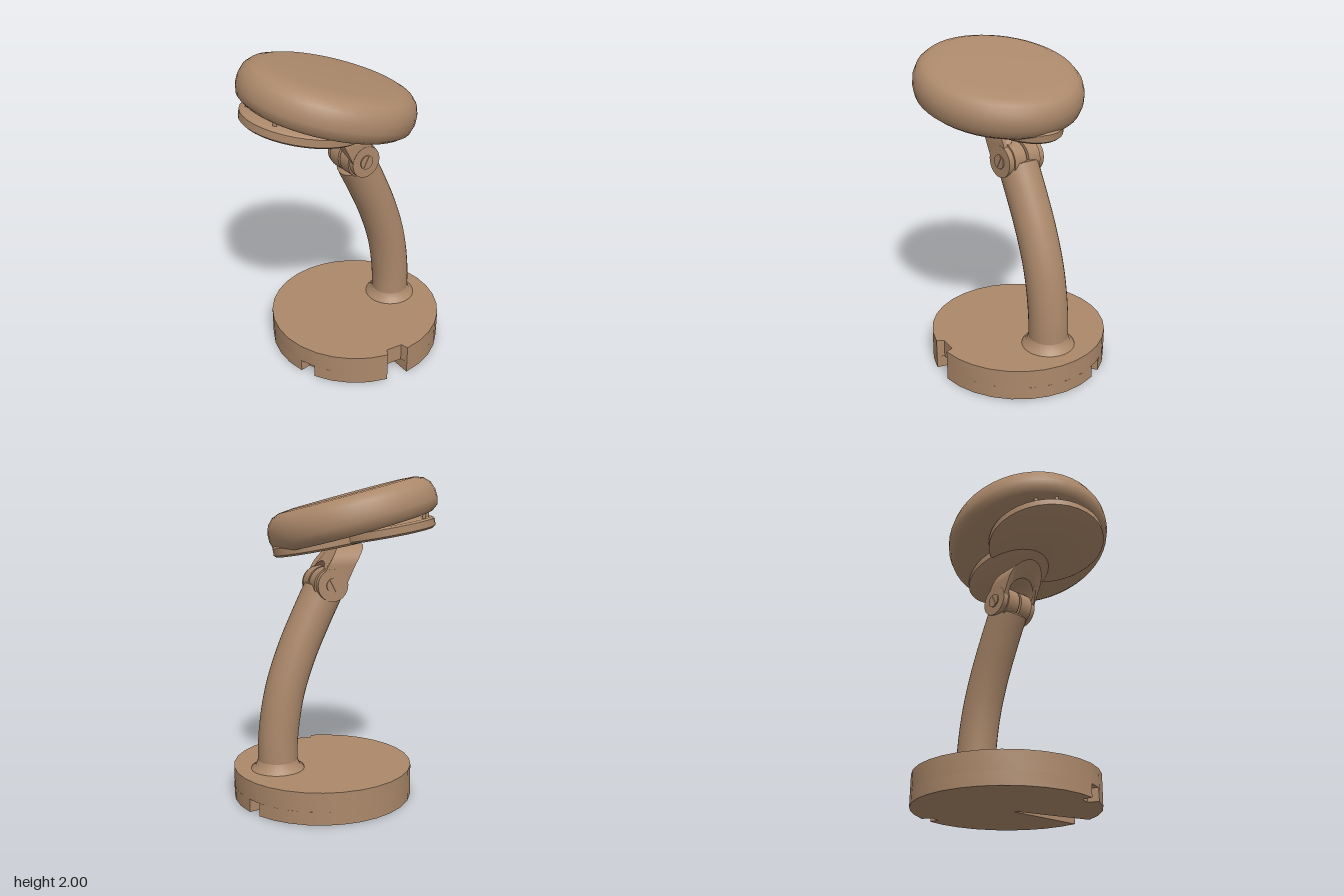
import * as THREE from 'three';
import { toCreasedNormals } from 'three/addons/utils/BufferGeometryUtils.js';

const clay = new THREE.MeshStandardMaterial({ color: 0xab886a });
clay.name = 'clay brown';

function add(parent, name, geometry, x = 0, y = 0, z = 0) {
  const mesh = new THREE.Mesh(geometry, clay);
  mesh.name = name;
  mesh.position.set(x, y, z);
  parent.add(mesh);
  return mesh;
}

// Round slab from y0 to y1 with notches { angle, half, inner } cut into its rim
function notchedSlab(radius, y0, y1, notches) {
  const points = [];
  const at = (r, a) => points.push(new THREE.Vector2(r * Math.cos(a), r * Math.sin(a)));
  const sorted = [...notches].sort((a, b) => a.angle - b.angle);
  let start = -Math.PI;
  const arc = (from, to) => {
    const n = Math.max(1, Math.round((to - from) / 0.2));
    for (let i = 0; i <= n; i++) at(radius, from + ((to - from) * i) / n);
  };
  for (const { angle, half, inner } of sorted) {
    arc(start, angle - half);
    at(inner, angle - half * 0.8);
    at(inner, angle + half * 0.8);
    start = angle + half;
  }
  arc(start, Math.PI - 0.2);
  const geometry = new THREE.ExtrudeGeometry(new THREE.Shape(points), { depth: y1 - y0, bevelEnabled: false });
  geometry.rotateX(Math.PI / 2);
  geometry.translate(0, y1, 0);
  return toCreasedNormals(geometry, 0.4);
}

function lathe(profile, segments) {
  const geometry = new THREE.LatheGeometry(profile.map(([r, y]) => new THREE.Vector2(r, y)), segments);
  return toCreasedNormals(geometry, 0.8);
}

function disc(radius, width, segments = 28) {
  return new THREE.CylinderGeometry(radius, radius, width, segments).rotateZ(Math.PI / 2);
}

export function createModel() {
  const model = new THREE.Group();
  model.name = 'tiltingStand';

  // Base: side notch runs full height, its wedge continues under the slab
  const base = new THREE.Group();
  base.name = 'base';
  base.position.z = -0.09;
  model.add(base);
  add(base, 'baseTop', notchedSlab(0.567, 0.08, 0.197, [{ angle: 0.13, half: 0.13, inner: 0.52 }]));
  add(base, 'baseBottom', notchedSlab(0.567, 0, 0.08, [
    { angle: 0.13, half: 0.13, inner: 0.06 },
    { angle: 1.2, half: 0.09, inner: 0.5 },
    { angle: -1.94, half: 0.08, inner: 0.5 },
  ]));

  // Curved neck with a flared foot
  const path = new THREE.CatmullRomCurve3([
    [0.15, -0.395], [0.4, -0.39], [0.68, -0.345], [0.92, -0.265], [1.13, -0.17], [1.3, -0.085],
  ].map(([y, z]) => new THREE.Vector3(0, y, z)));
  add(model, 'neck', new THREE.TubeGeometry(path, 30, 0.125, 28));
  const cap = add(model, 'neckEnd', new THREE.CylinderGeometry(0.1, 0.125, 0.012, 28), 0, 1.305, -0.083);
  cap.quaternion.setFromUnitVectors(new THREE.Vector3(0, 1, 0), path.getTangent(1));
  add(model, 'neckFlare', lathe([[0.17, 0.19], [0.165, 0.203], [0.14, 0.215], [0.123, 0.26]], 28), 0, 0, -0.395);

  // Hinge: split lug, outer cheeks and slotted pivot screws
  const pivotY = 1.345, pivotZ = -0.07;
  for (const side of [-1, 1]) {
    add(model, 'hingeLug', disc(0.11, 0.087), side * 0.052, pivotY, pivotZ);
    add(model, 'hingeCheek', disc(0.1, 0.036), side * 0.114, pivotY, pivotZ);
    add(model, 'pivotScrew', disc(0.045, 0.01, 20), side * 0.134, pivotY, pivotZ);
    const slot = add(model, 'screwRidge', new THREE.BoxGeometry(0.006, 0.078, 0.014), side * 0.139, pivotY, pivotZ);
    slot.rotation.x = -0.5;
  }

  // Yoke: an arch leaning forward from the hinge to the plate
  const arch = new THREE.Shape();
  arch.moveTo(0.13, pivotY);
  arch.lineTo(0.13, 1.46);
  arch.absarc(0, 1.46, 0.13, 0, Math.PI, false);
  arch.lineTo(-0.13, pivotY);
  arch.lineTo(-0.098, pivotY);
  arch.lineTo(-0.098, 1.39);
  arch.absarc(0, 1.39, 0.098, Math.PI, 0, true);
  arch.lineTo(0.098, pivotY);
  const yoke = new THREE.ExtrudeGeometry(arch, { depth: 0.18, bevelEnabled: false, curveSegments: 20 });
  const p = yoke.attributes.position;
  for (let i = 0; i < p.count; i++) {
    const rise = p.getY(i) - pivotY;
    p.setZ(i, p.getZ(i) - 0.09 + pivotZ + rise * 0.35 + rise * rise * 1.2);
  }
  yoke.computeVertexNormals();
  add(model, 'yoke', toCreasedNormals(yoke, 0.6));

  // Plate under the cushion: a wide front lobe and a narrower rear lobe
  const plate = new THREE.Group();
  plate.name = 'supportPlate';
  plate.position.set(0, 1.64, 0.128);
  plate.rotation.set(-0.165, 0, -0.05);
  model.add(plate);
  const plateProfile = [[0, -0.034], [0.96, -0.034], [1, -0.022], [1, 0.022], [0.96, 0.034], [0, 0.034]];
  add(plate, 'frontLobe', lathe(plateProfile, 36), 0, 0, 0.165).scale.set(0.37, 1, 0.37);
  add(plate, 'rearLobe', lathe(plateProfile, 36), 0, -0.006, -0.215).scale.set(0.23, 1, 0.32);

  // Pins joining plate and cushion
  for (const x of [-0.26, -0.16, 0.14]) {
    add(model, 'pin', new THREE.CylinderGeometry(0.012, 0.012, 0.16, 10), x, 1.78, x < -0.2 ? 0.48 : 0.56);
  }

  // Soft padded cushion, tilted back and slightly to one side
  const cushion = add(model, 'cushion', lathe([
    [0, -0.115], [0.44, -0.118], [0.5, -0.115], [0.533, -0.09], [0.545, -0.045], [0.543, 0.005],
    [0.525, 0.055], [0.49, 0.09], [0.44, 0.108], [0.36, 0.114], [0, 0.114],
  ], 48), 0, 1.785, 0.11);
  cushion.rotation.set(-0.25, 0, -0.08);
  cushion.scale.x = 0.94;

  return model;
}
